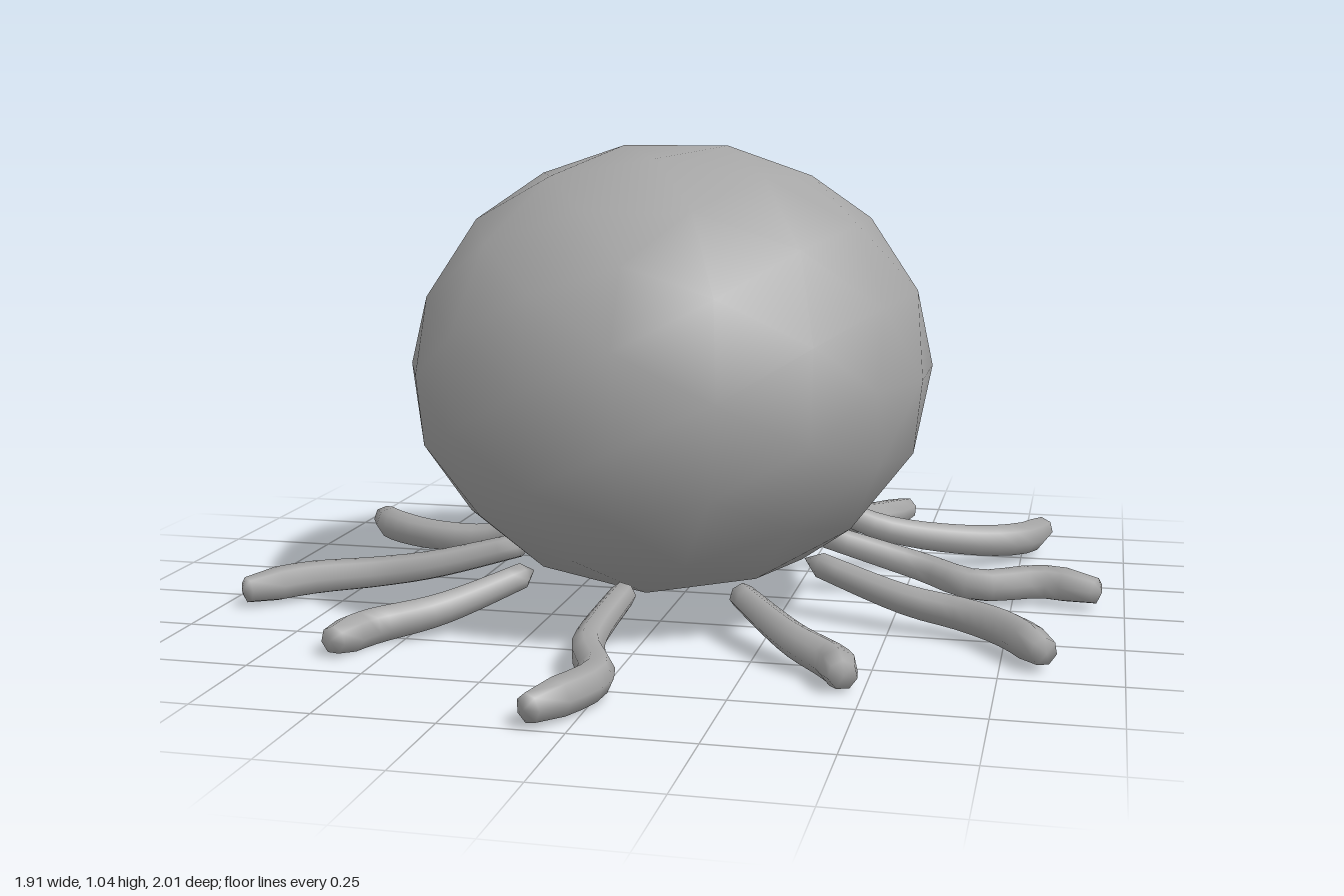
import * as THREE from 'three';
import { mergeVertices } from 'three/addons/utils/BufferGeometryUtils.js';

// Tentacle paths from the root under the body to the tip: [x, y, z]
const PATHS = {
  back: [[-0.07, 0.27, -0.3], [-0.085, 0.14, -0.5], [-0.07, 0.06, -0.64], [-0.13, 0.045, -0.78], [-0.1, 0.045, -0.89], [-0.16, 0.045, -1]],
  backLeft: [[0.1, 0.26, -0.28], [0.2, 0.15, -0.45], [0.24, 0.08, -0.55], [0.3, 0.045, -0.66], [0.39, 0.045, -0.72], [0.435, 0.045, -0.82]],
  rearLeft: [[0.25, 0.2, -0.22], [0.42, 0.11, -0.3], [0.63, 0.07, -0.38], [0.75, 0.06, -0.47], [0.8, 0.06, -0.6]],
  sideLeft: [[0.28, 0.15, -0.06], [0.54, 0.07, -0.09], [0.67, 0.05, -0.03], [0.82, 0.05, -0.09], [0.95, 0.045, -0.05]],
  foreLeft: [[0.3, 0.13, 0.12], [0.54, 0.07, 0.2], [0.66, 0.055, 0.23], [0.76, 0.05, 0.31], [0.845, 0.045, 0.45]],
  frontLeft: [[0.18, 0.1, 0.31], [0.34, 0.06, 0.51], [0.43, 0.04, 0.58], [0.465, 0.04, 0.67]],
  front: [[-0.05, 0.1, 0.33], [-0.06, 0.055, 0.63], [0, 0.045, 0.8], [-0.08, 0.04, 1]],
  frontRight: [[-0.28, 0.11, 0.28], [-0.44, 0.06, 0.46], [-0.56, 0.04, 0.55], [-0.6, 0.04, 0.67]],
  foreRight: [[-0.33, 0.13, 0.1], [-0.57, 0.07, 0.14], [-0.7, 0.05, 0.16], [-0.84, 0.045, 0.23], [-0.95, 0.04, 0.35]],
  rearRight: [[-0.28, 0.17, -0.11], [-0.51, 0.07, -0.165], [-0.68, 0.055, -0.2], [-0.82, 0.055, -0.28], [-0.9, 0.05, -0.39]],
  backRight: [[-0.2, 0.24, -0.25], [-0.35, 0.13, -0.4], [-0.44, 0.07, -0.55], [-0.55, 0.045, -0.64], [-0.61, 0.045, -0.76]],
};

// Tube that thickens a little towards a blunt, closed tip
function tentacleGeometry(points) {
  const SEGS = 16, SIDES = 7;
  const curve = new THREE.CatmullRomCurve3(points.map(p => new THREE.Vector3(...p)), false, 'centripetal');
  const geo = new THREE.TubeGeometry(curve, SEGS, 1, SIDES, false);
  const pos = geo.attributes.position;
  const v = new THREE.Vector3();
  for (let i = 0; i <= SEGS; i++) {
    const u = i / SEGS;
    const centre = curve.getPointAt(u);
    const target = centre.clone();
    let radius = 0.028 + 0.012 * Math.min(1, u * 1.3);
    if (i === 0 || i === SEGS) radius = 0;
    if (i === SEGS - 1) {
      target.lerp(curve.getPointAt(1), 0.7);
      radius = 0.03;
    }
    for (let j = 0; j <= SIDES; j++) {
      const k = i * (SIDES + 1) + j;
      v.fromBufferAttribute(pos, k).sub(centre).multiplyScalar(radius).add(target);
      pos.setXYZ(k, v.x, v.y, v.z);
    }
  }
  return smooth(geo);
}

// Weld the corners so that shading runs smoothly over the coarse faces
function smooth(geo) {
  geo.deleteAttribute('uv');
  geo.deleteAttribute('normal');
  const welded = mergeVertices(geo, 1e-4);
  welded.computeVertexNormals();
  return welded;
}

export function createModel() {
  const model = new THREE.Group();
  const grey = new THREE.MeshStandardMaterial({ color: 0xa6a6a6 });
  grey.name = 'grey';

  // Body: coarse ball, slightly flattened and leaning back
  const bodyGeo = new THREE.IcosahedronGeometry(1, 2);
  bodyGeo.applyMatrix4(new THREE.Matrix4().set(
    0.59, 0, 0, -0.017,
    0, 0.5, 0, 0.55,
    0, -0.05, 0.56, 0.067,
    0, 0, 0, 1));
  const body = new THREE.Mesh(smooth(bodyGeo), grey);
  body.name = 'body';
  model.add(body);

  // Ring of wavy tentacles
  const tentacles = new THREE.Group();
  tentacles.name = 'tentacles';
  for (const [name, points] of Object.entries(PATHS)) {
    const tentacle = new THREE.Mesh(tentacleGeometry(points), grey);
    tentacle.name = name + 'Tentacle';
    tentacles.add(tentacle);
  }
  model.add(tentacles);
  return model;
}
